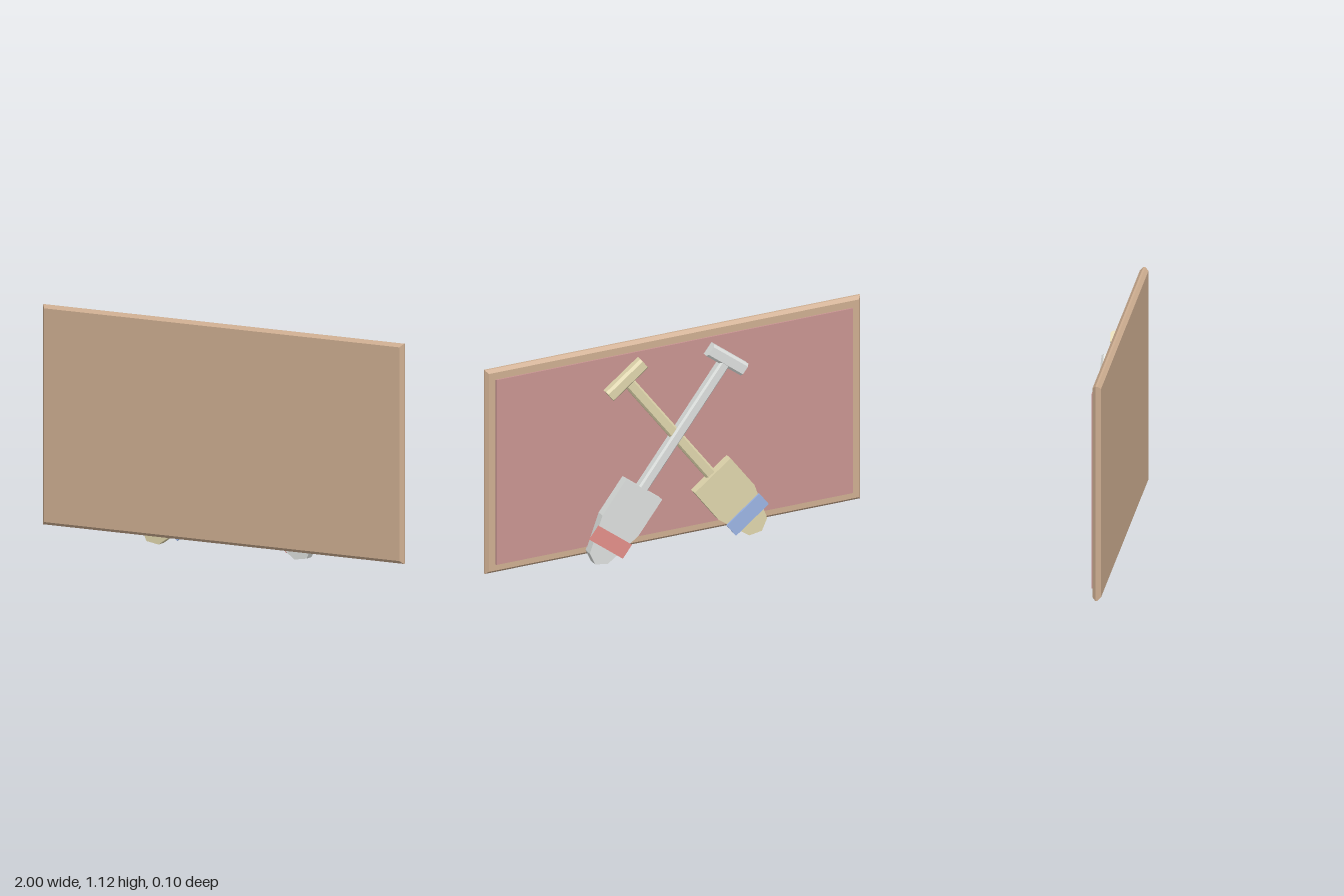
import * as THREE from 'three';

const mat = (name, color) => {
  const m = new THREE.MeshStandardMaterial({ color });
  m.name = name;
  return m;
};

const add = (parent, name, geometry, material) => {
  const mesh = new THREE.Mesh(geometry, material);
  mesh.name = name;
  parent.add(mesh);
  return mesh;
};

const polygon = (pts) => new THREE.Shape(pts.map(([x, y]) => new THREE.Vector2(x, y)));

// Bar along +y, centred on y, reaching from z = -z0 to z = -z1, with chamfered back edges
function bar(length, width, z0, z1, chamfer) {
  const h = width / 2;
  const profile = polygon([
    [-h, z0], [h, z0], [h, z1 - chamfer], [h - chamfer, z1], [chamfer - h, z1], [-h, z1 - chamfer],
  ]);
  return new THREE.ExtrudeGeometry(profile, { depth: length, bevelEnabled: false })
    .rotateX(-Math.PI / 2)
    .translate(0, -length / 2, 0);
}

// Spade lying against the back of the board, its shaft running along local y
function spade(name, body, bandMaterial, shaftDepth) {
  const g = new THREE.Group();
  g.name = name;

  const half = [[0.12, -0.3], [0.12, -0.51], [0.06, -0.7]];
  const outline = [...half, [0, -0.732], ...half.map(([x, y]) => [-x, y]).reverse()];
  const blade = new THREE.ExtrudeGeometry(polygon(outline.reverse()), { depth: 0.048, bevelEnabled: false });
  add(g, 'blade', blade.translate(0, 0, -0.04), body);

  add(g, 'bladeBand', new THREE.BoxGeometry(0.22, 0.08, 0.0095), bandMaterial)
    .position.set(0, -0.601, -0.0452);

  add(g, 'shaft', bar(0.74, 0.056, -0.003, shaftDepth, 0.009), body).position.y = 0.07;

  const grip = bar(0.23, 0.068, -0.003, 0.037, 0.012).rotateZ(Math.PI / 2);
  add(g, 'grip', grip, body).position.y = 0.44;
  return g;
}

export function createModel() {
  const board = mat('tan wood', 0xceae91);
  const backing = mat('dusty red', 0xc89491);
  const grey = mat('light grey', 0xdcdfdd);
  const cream = mat('cream', 0xdfd5ac);
  const blue = mat('blue', 0x9bb4e3);
  const red = mat('red', 0xe28e88);

  const model = new THREE.Group();
  model.name = 'signBoard';

  // Board with bevelled rim
  const bevel = 0.015;
  const x = 1 - bevel, bottom = 0.048 + bevel, top = 1.122 - bevel;
  const boardGeo = new THREE.ExtrudeGeometry(
    polygon([[-x, bottom], [x, bottom], [x, top], [-x, top]]),
    { depth: 0.01, bevelEnabled: true, bevelThickness: 0.016, bevelSize: bevel, bevelSegments: 1 }
  );
  add(model, 'board', boardGeo.translate(0, 0, 0.027), board);

  // Raised panel on the back
  add(model, 'backPanel', new THREE.BoxGeometry(1.9, 0.975, 0.0095), backing)
    .position.set(0, 0.583, 0.0078);

  // Crossed pair of spades
  const tilt = 0.652;
  const creamSpade = spade('creamSpade', cream, blue, 0.026);
  const greySpade = spade('greySpade', grey, red, 0.036);
  creamSpade.rotation.z = -tilt;
  greySpade.rotation.z = tilt;
  for (const s of [creamSpade, greySpade]) {
    s.position.y = 0.597;
    model.add(s);
  }
  return model;
}
